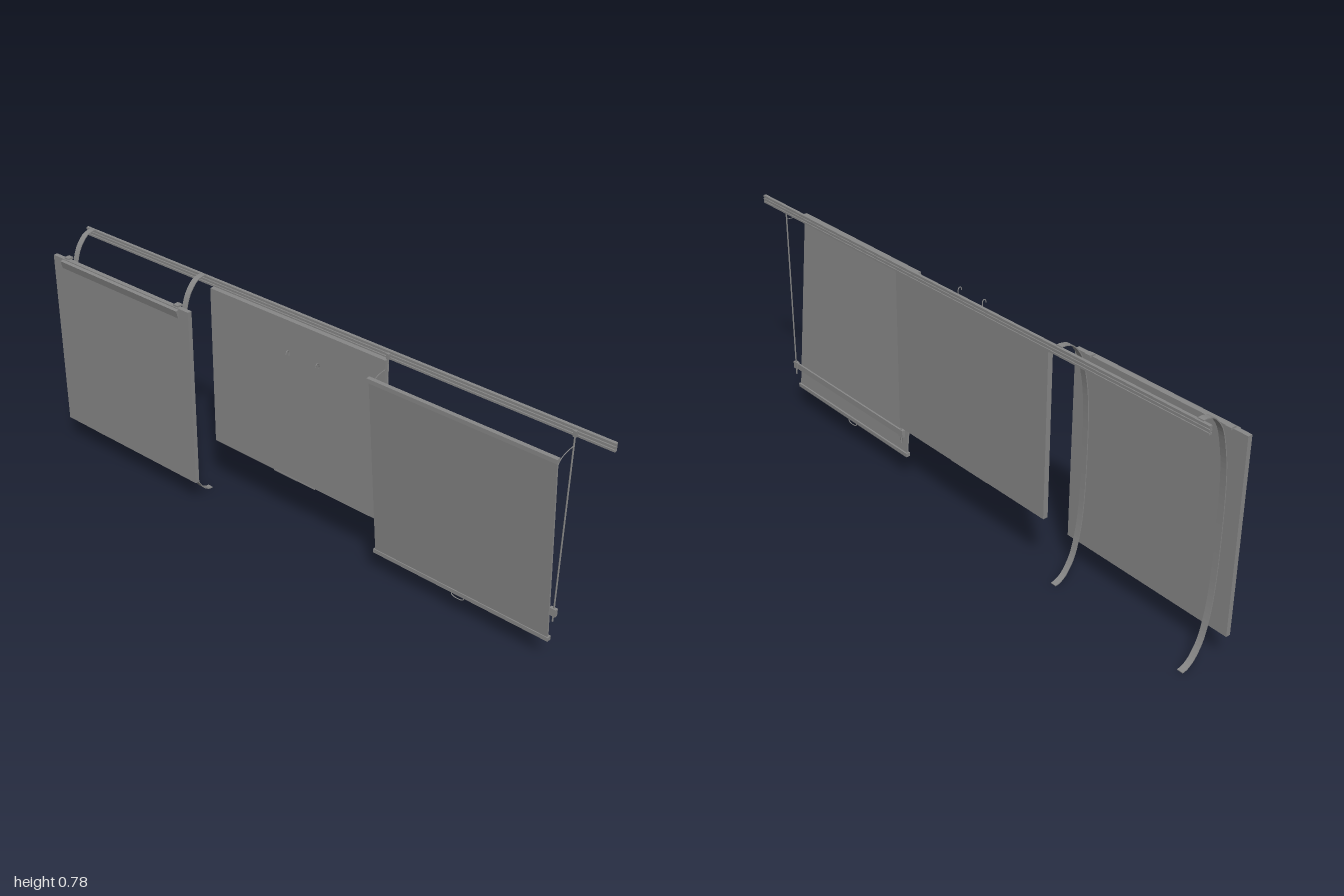
import * as THREE from 'three';

const mat = new THREE.MeshStandardMaterial({ color: 0x868686 });
const V = (x, y, z) => new THREE.Vector3(x, y, z);

function add(parent, name, geometry) {
  const mesh = new THREE.Mesh(geometry, mat);
  mesh.name = name;
  parent.add(mesh);
  return mesh;
}

// Box given by its limits on each axis
function box(parent, name, x0, x1, y0, y1, z0, z1) {
  const mesh = add(parent, name, new THREE.BoxGeometry(x1 - x0, y1 - y0, z1 - z0));
  mesh.position.set((x0 + x1) / 2, (y0 + y1) / 2, (z0 + z1) / 2);
  return mesh;
}

// Round wire through points
function wire(parent, name, points, radius, segments = 24) {
  return add(parent, name, new THREE.TubeGeometry(new THREE.CatmullRomCurve3(points), segments, radius, 8));
}

// Side profile (z, y) extruded along x from x0 to x1
function profile(parent, name, pts, x0, x1) {
  const geo = new THREE.ExtrudeGeometry(new THREE.Shape(pts), { depth: x1 - x0, bevelEnabled: false });
  geo.rotateY(-Math.PI / 2);
  const mesh = add(parent, name, geo);
  mesh.position.x = x1;
  return mesh;
}

const P = (z, y) => new THREE.Vector2(z, y);

export function createModel() {
  const root = new THREE.Group();
  root.name = 'boardSystem';
  const model = new THREE.Group();
  model.name = 'railAndBoards';
  model.rotation.y = -0.018;
  root.add(model);

  // Long rail with two grooves along its front and back
  const front = [], back = [];
  for (const y of [0.752, 0.762, 0.772]) {
    front.push(P(-0.055, y - 0.001), P(-0.051, y - 0.001), P(-0.051, y + 0.005), P(-0.055, y + 0.005));
    back.unshift(P(-0.058, y + 0.005), P(-0.061, y + 0.005), P(-0.061, y - 0.001), P(-0.058, y - 0.001));
  }
  profile(model, 'rail', [...front, ...back], -0.975, 1);

  // Middle board hung below the rail, with a short grip at its lower edge
  box(model, 'middleBoard', -0.395, 0.283, 0.208, 0.753, -0.052, -0.035);
  box(model, 'middleBoardGrip', -0.14, 0.028, 0.205, 0.209, -0.05, -0.034);

  // Left board
  box(model, 'leftBoard', -0.998, -0.383, 0.1, 0.715, 0.059, 0.074);

  // Bowed spring arms that carry the left board
  const bow = new THREE.SplineCurve([
    P(-0.046, 0.002), P(-0.025, 0.008), P(0, 0.03), P(0.027, 0.08), P(0.045, 0.16), P(0.0535, 0.25),
    P(0.0567, 0.36), P(0.056, 0.5), P(0.05, 0.6), P(0.038, 0.67), P(0.02, 0.73),
    P(-0.01, 0.768), P(-0.035, 0.778), P(-0.055, 0.779),
  ]);
  const outer = [], inner = [];
  for (let i = 0; i <= 60; i++) {
    const p = bow.getPoint(i / 60), t = bow.getTangent(i / 60);
    const n = P(t.y, -t.x).multiplyScalar(0.0015);
    outer.push(p.clone().add(n));
    inner.unshift(p.clone().sub(n));
  }
  for (const x of [-0.94, -0.44]) {
    profile(model, 'bowedArm', [...outer, ...inner], x - 0.01, x + 0.01);
    // Clip on the top edge of the board
    box(model, 'boardClip', x - 0.01, x + 0.01, 0.713, 0.72, 0.05, 0.07);
  }

  // Slanted strip along the top front of the left board
  profile(model, 'clampStrip', [
    P(0.074, 0.684), P(0.078, 0.684), P(0.085, 0.71), P(0.074, 0.712),
  ], -0.953, -0.423);

  // Two small loose hooks
  for (const x of [0.003, 0.115]) {
    wire(model, 'hook', [
      V(x, 0.702, 0.052), V(x, 0.715, 0.052), V(x, 0.721, 0.057),
      V(x, 0.718, 0.063), V(x, 0.71, 0.065),
    ], 0.0015, 16);
  }

  // Tilted screen between a top bar and a bottom bar
  const screen = new THREE.Group();
  screen.name = 'screen';
  model.add(screen);
  profile(screen, 'screenSheet', [
    P(-0.033, 0.1), P(-0.027, 0.1), P(0.03, 0.718), P(0.024, 0.718),
  ], 0.277, 0.888);
  box(screen, 'topBar', 0.272, 0.89, 0.71, 0.723, 0.02, 0.034);
  box(screen, 'bottomBar', 0.272, 0.892, 0.095, 0.108, -0.038, -0.023);

  // Pull loop below the bottom bar
  wire(screen, 'pullLoop', [
    V(0.56, 0.098, -0.031), V(0.558, 0.085, -0.031), V(0.565, 0.079, -0.031),
    V(0.595, 0.079, -0.031), V(0.602, 0.085, -0.031), V(0.6, 0.098, -0.031),
  ], 0.0015);

  // Hanging rods with tilt arms and lower holders
  for (const x of [0.282, 0.886]) {
    const rod = add(model, 'hangingRod', new THREE.CylinderGeometry(0.0025, 0.0025, 0.615, 10));
    rod.position.set(x, 0.4575, -0.048);
    box(model, 'rodHanger', x - 0.005, x + 0.005, 0.752, 0.77, -0.053, -0.044);
    box(model, 'rodHolder', x - 0.01, x + 0.01, 0.172, 0.197, -0.052, -0.041);
    wire(model, 'tiltArm', [
      V(x, 0.695, 0.024), V(x, 0.71, 0.012), V(x, 0.72, -0.01), V(x, 0.724, -0.048),
    ], 0.0013);
  }

  // Flat crossbar joining the rods behind the screen
  box(model, 'crossbar', 0.282, 0.886, 0.174, 0.195, -0.05, -0.044);

  return root;
}
